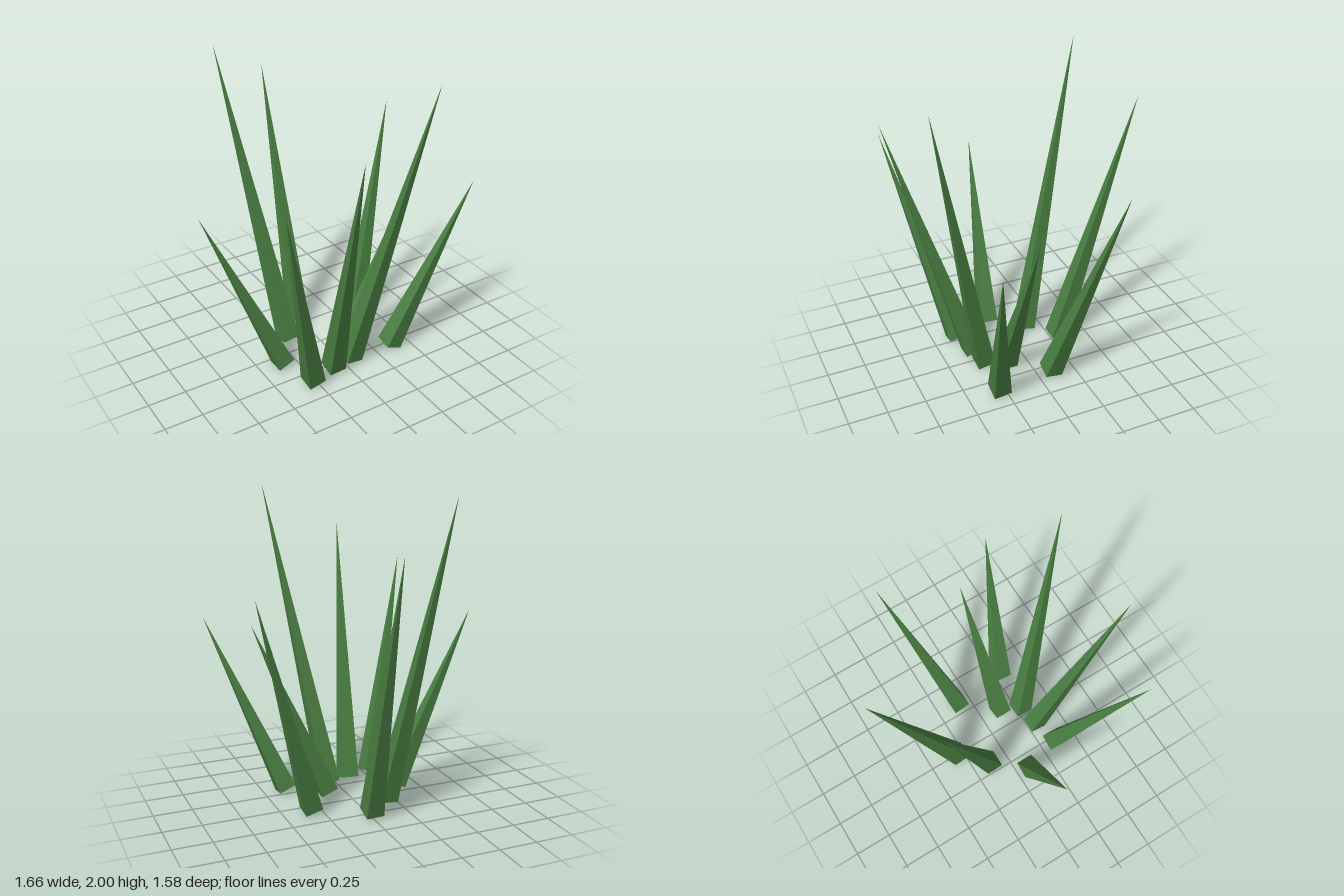
import * as THREE from 'three';

const BASE_WIDTH = 0.116;
const BASE_HEIGHT = 0.03;

// Each blade: base centre x, z, then tip x, y, z
const BLADES = [
  [-0.008, -0.29, 0.035, 1.72, -0.79],
  [-0.185, -0.125, -0.41, 2.0, -0.565],
  [0.32, -0.09, 0.74, 1.46, -0.36],
  [-0.345, 0.088, -0.83, 1.195, 0.0],
  [0.122, 0.142, 0.615, 1.195, 0.14],
  [0.36, 0.29, 0.83, 1.195, 0.46],
  [0.057, 0.275, 0.355, 2.0, 0.67],
  [-0.09, 0.302, -0.215, 1.72, 0.785],
  [-0.272, 0.347, -0.635, 1.46, 0.68],
];

// Square spike running from its base centre to its tip
function makeBlade(base, tip, material) {
  const axis = tip.clone().sub(base);
  const length = axis.length();
  const geometry = new THREE.ConeGeometry(BASE_WIDTH / Math.SQRT2, length, 4, 1);
  geometry.rotateY(Math.PI / 4);
  geometry.translate(0, length / 2, 0);
  const blade = new THREE.Mesh(geometry, material);
  blade.quaternion.setFromUnitVectors(new THREE.Vector3(0, 1, 0), axis.normalize());
  blade.position.copy(base);
  return blade;
}

export function createModel() {
  const group = new THREE.Group();
  group.name = 'grassTuft';
  const green = new THREE.MeshStandardMaterial({ color: 0x4a7f42 });
  green.name = 'grassGreen';
  green.flatShading = true;

  // Ring of blades leaning outward
  BLADES.forEach(([bx, bz, tx, ty, tz], i) => {
    const blade = makeBlade(
      new THREE.Vector3(bx, BASE_HEIGHT, bz),
      new THREE.Vector3(tx, ty, tz),
      green
    );
    blade.name = `grassBlade${i + 1}`;
    group.add(blade);
  });
  return group;
}
